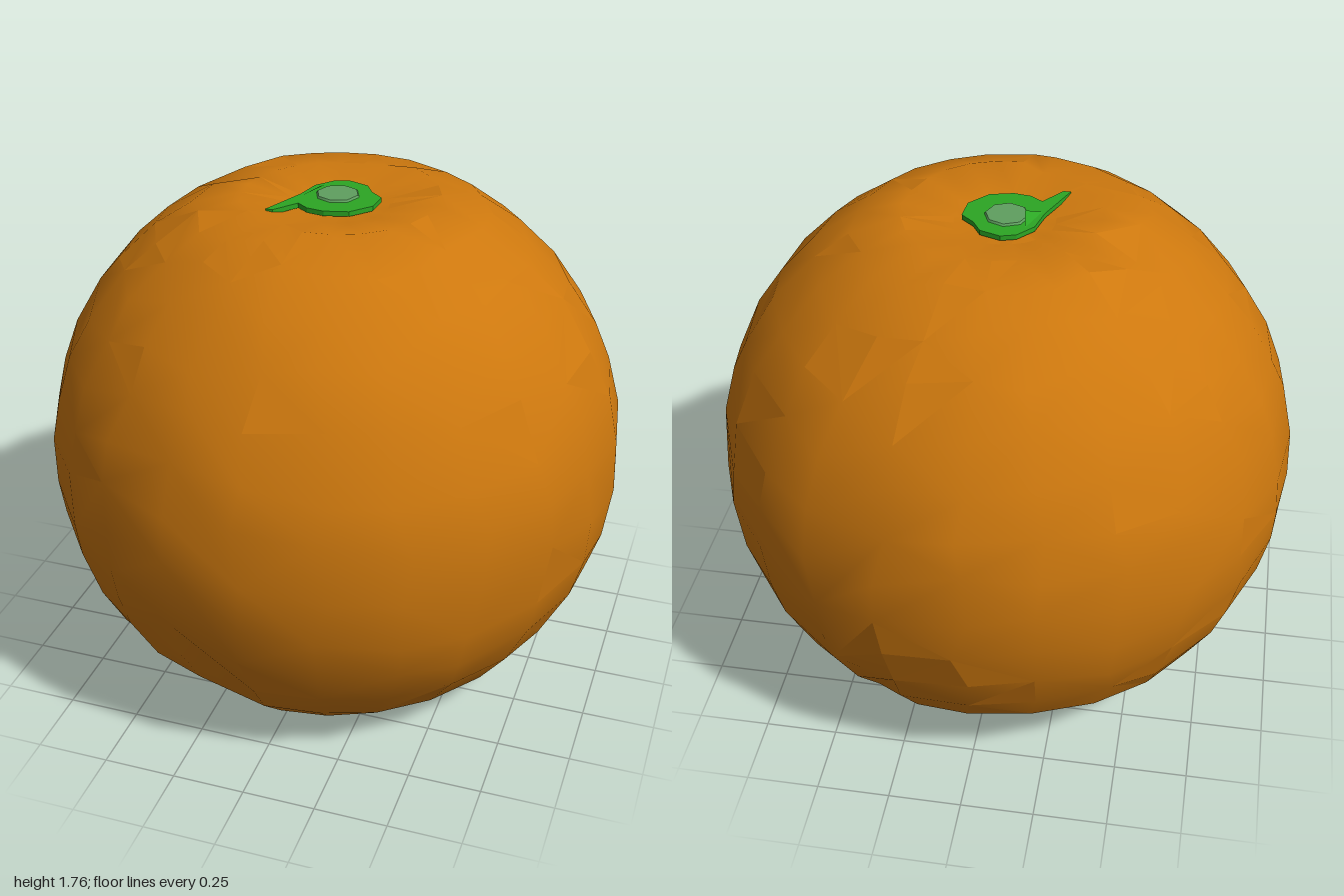
import * as THREE from 'three';

const CENTRE_Y = 0.83, SEGMENTS = 24, RINGS = 14;

// Height of the torn lower edge by azimuth in degrees (0 = front, 90 = +x)
const RIM = [
  [0, 0.05], [35, 0.01], [65, 0.04], [120, 0.04], [150, 0], [165, 0.18], [180, 0.26], [195, 0.29],
  [244, 0.25], [270, 0.22], [309, 0.15], [318, 0.17], [331, 0.28], [345, 0.29], [360, 0.05],
];

function rimHeight(deg) {
  const i = Math.max(1, RIM.findIndex(([d]) => d >= deg));
  const [d0, y0] = RIM[i - 1], [d1, y1] = RIM[i];
  return y0 + (y1 - y0) * (deg - d0) / (d1 - d0);
}

function seeded(seed) {
  return () => (seed = (seed * 16807) % 2147483647) / 2147483647;
}

// Round peel with a shallow top dimple, a small pit and an open, uneven base
function peelGeometry() {
  const random = seeded(41);
  const points = [0, 1.71, 0], index = [];
  for (let r = 1; r <= RINGS; r++) {
    for (let s = 0; s < SEGMENTS; s++) {
      const deg = s * 360 / SEGMENTS;
      const last = r === RINGS;
      const wobble = () => (last || r < 3 ? 0 : (random() - 0.5) * 0.06);
      const a = THREE.MathUtils.degToRad(deg) + wobble();
      const theta = Math.acos(rimHeight(deg) - CENTRE_Y) * r / RINGS + wobble();
      const radius = Math.sin(theta);
      const x = radius * Math.sin(a), z = radius * Math.cos(a);
      let y = CENTRE_Y + Math.cos(theta);
      y = Math.min(y, 1.71 + 0.035 * THREE.MathUtils.smoothstep(radius, 0.15, 0.36));
      if (y > 1) y -= 0.06 * Math.exp(-((x + 0.41) ** 2 + (z + 0.12) ** 2) / 0.005);
      points.push(x, y, z);
    }
  }
  const at = (r, s) => 1 + (r - 1) * SEGMENTS + (s % SEGMENTS);
  for (let s = 0; s < SEGMENTS; s++) {
    index.push(0, at(1, s), at(1, s + 1));
    for (let r = 1; r < RINGS; r++) {
      const a = at(r, s), b = at(r, s + 1), c = at(r + 1, s), d = at(r + 1, s + 1);
      if ((r + s) % 2) index.push(a, c, d, a, d, b);
      else index.push(a, c, b, b, c, d);
    }
  }
  const smooth = new THREE.BufferGeometry();
  smooth.setAttribute('position', new THREE.Float32BufferAttribute(points, 3));
  smooth.setIndex(index);
  smooth.computeVertexNormals();

  // Scatter a few flat facets over the smooth skin
  const geometry = smooth.toNonIndexed();
  const flat = geometry.clone();
  flat.computeVertexNormals();
  const n = geometry.attributes.normal, f = flat.attributes.normal;
  for (let t = 0; t < n.count; t += 3) {
    if (random() > 0.1) continue;
    for (let k = t; k < t + 3; k++) n.setXYZ(k, f.getX(k), f.getY(k), f.getZ(k));
  }
  return geometry;
}

// Thin horizontal plate from an outline of [x, z] points
function plate(outline, depth) {
  const shape = new THREE.Shape(outline.map(([x, z]) => new THREE.Vector2(x, -z)));
  return new THREE.ExtrudeGeometry(shape, { depth, bevelEnabled: false }).rotateX(-Math.PI / 2);
}

export function createModel() {
  const group = new THREE.Group();
  group.name = 'orangeFruit';
  const material = (name, color, side = THREE.FrontSide) => {
    const m = new THREE.MeshStandardMaterial({ color, side });
    m.name = name;
    return m;
  };
  const orange = material('orangePeel', 0xcd780e, THREE.DoubleSide);
  const green = material('leafGreen', 0x2ca624, THREE.DoubleSide);
  const grey = material('stemGreyGreen', 0x5f9f5f);

  const add = (name, geometry, mat, x = 0, y = 0, z = 0) => {
    const mesh = new THREE.Mesh(geometry, mat);
    mesh.name = name;
    mesh.position.set(x, y, z);
    group.add(mesh);
    return mesh;
  };

  add('peel', peelGeometry(), orange);

  // Calyx with one pointed leaf tip
  add('calyx', plate([
    [-0.05, -0.13], [0, -0.145], [0.07, -0.12], [0.1, -0.07], [0.145, -0.03], [0.14, 0.05], [0.08, 0.12],
    [0, 0.14], [-0.06, 0.13], [-0.1, 0.1], [-0.16, 0.18], [-0.185, 0.18], [-0.12, 0.02], [-0.1, -0.07],
  ], 0.017), green, 0, 1.718, 0);

  // Stem scar
  add('stemScar', new THREE.CylinderGeometry(0.07, 0.075, 0.008, 8), grey, 0, 1.738, -0.01);

  // Small raised flap at the calyx edge
  const flap = new THREE.BufferGeometry();
  flap.setAttribute('position', new THREE.Float32BufferAttribute(
    [-0.11, 1.735, 0.03, -0.07, 1.735, -0.08, -0.06, 1.758, -0.01], 3));
  flap.computeVertexNormals();
  add('calyxFlap', flap, green);

  return group;
}
